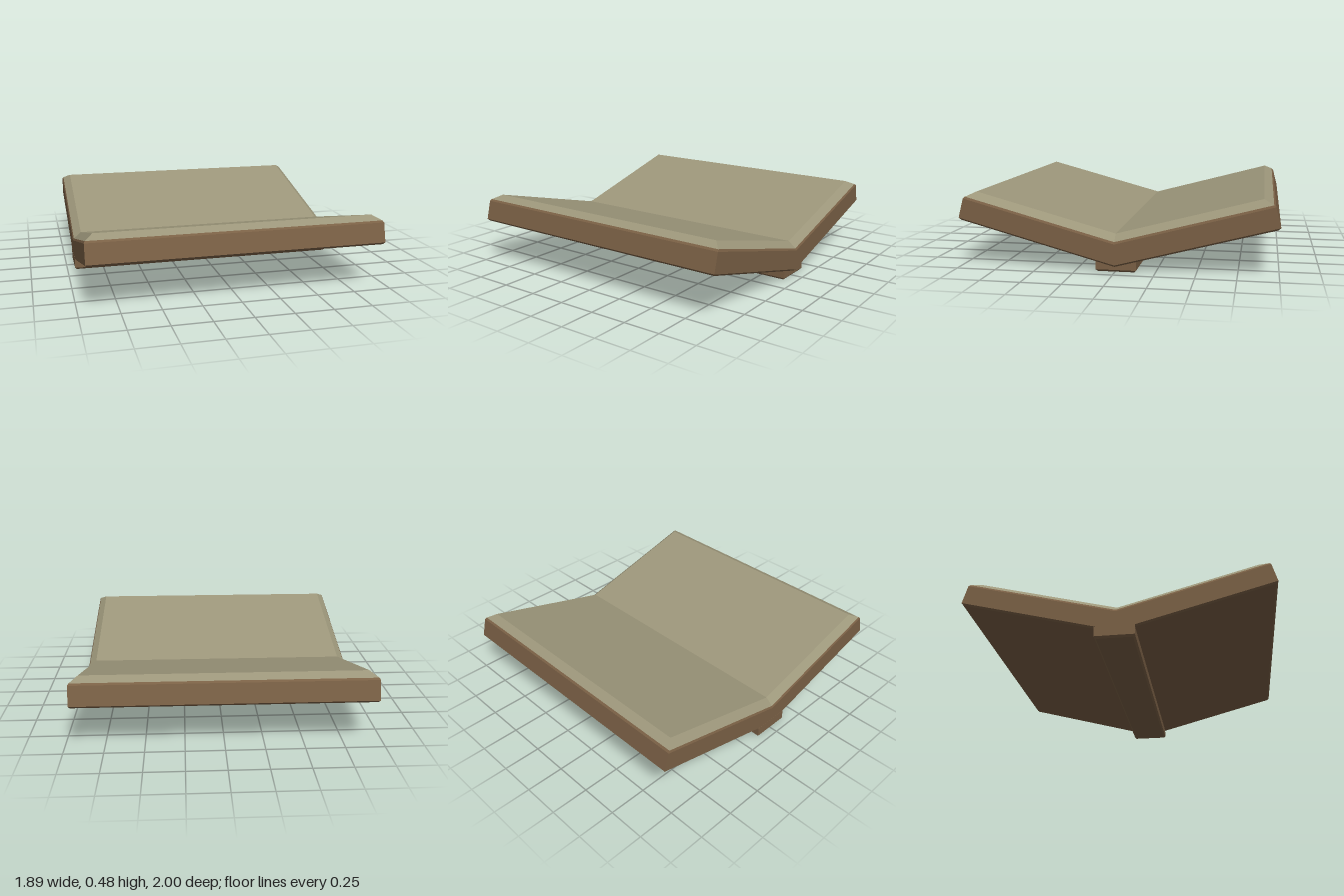
import * as THREE from 'three';

const FOLD = Math.tan(THREE.MathUtils.degToRad(15));

// Solid from stacked levels [half width, half length, height at the fold];
// slope lifts both ends away from the fold line at z = 0.
function foldedSolid(name, levels, slope, color) {
  const rings = levels.map(([x, z, y]) =>
    [[x, z], [x, 0], [x, -z], [-x, -z], [-x, 0], [-x, z]].map(
      ([px, pz]) => [px, y + Math.abs(pz) * slope, pz]));
  const pos = [];
  const quad = (a, b, c, d) => pos.push(...a, ...b, ...c, ...a, ...c, ...d);

  // Side bands
  for (let l = 0; l < rings.length - 1; l++) {
    const lo = rings[l], hi = rings[l + 1];
    for (let i = 0; i < 6; i++) {
      const j = (i + 1) % 6;
      quad(lo[i], lo[j], hi[j], hi[i]);
    }
  }
  // Top and bottom, two halves each
  const t = rings[rings.length - 1], b = rings[0];
  quad(t[0], t[1], t[4], t[5]);
  quad(t[1], t[2], t[3], t[4]);
  quad(b[5], b[4], b[1], b[0]);
  quad(b[4], b[3], b[2], b[1]);

  const geo = new THREE.BufferGeometry();
  geo.setAttribute('position', new THREE.Float32BufferAttribute(pos, 3));
  geo.computeVertexNormals();
  const mesh = new THREE.Mesh(geo, new THREE.MeshStandardMaterial({ color, flatShading: true }));
  mesh.name = name;
  return mesh;
}

export function createModel() {
  const group = new THREE.Group();
  group.name = 'foldedPanel';
  const brown = 0x7a6045, khaki = 0x9c967a;

  // Folded base slab with bevelled lower and upper edges
  group.add(foldedSolid('baseSlab', [
    [0.937, 0.985, 0.035],
    [0.947, 1.0, 0.046],
    [0.947, 0.967, 0.178],
    [0.94, 0.955, 0.192],
  ], FOLD, brown));

  // Chamfered covering on top
  group.add(foldedSolid('topCover', [
    [0.94, 0.955, 0.192],
    [0.89, 0.897, 0.235],
  ], FOLD, khaki));

  // Straight rail below the fold
  const rail = foldedSolid('ridgeRail', [
    [0.926, 0.115, 0],
    [0.938, 0.127, 0.013],
    [0.938, 0.127, 0.078],
  ], 0, brown);
  rail.position.set(-0.01, 0, -0.006);
  group.add(rail);

  return group;
}
